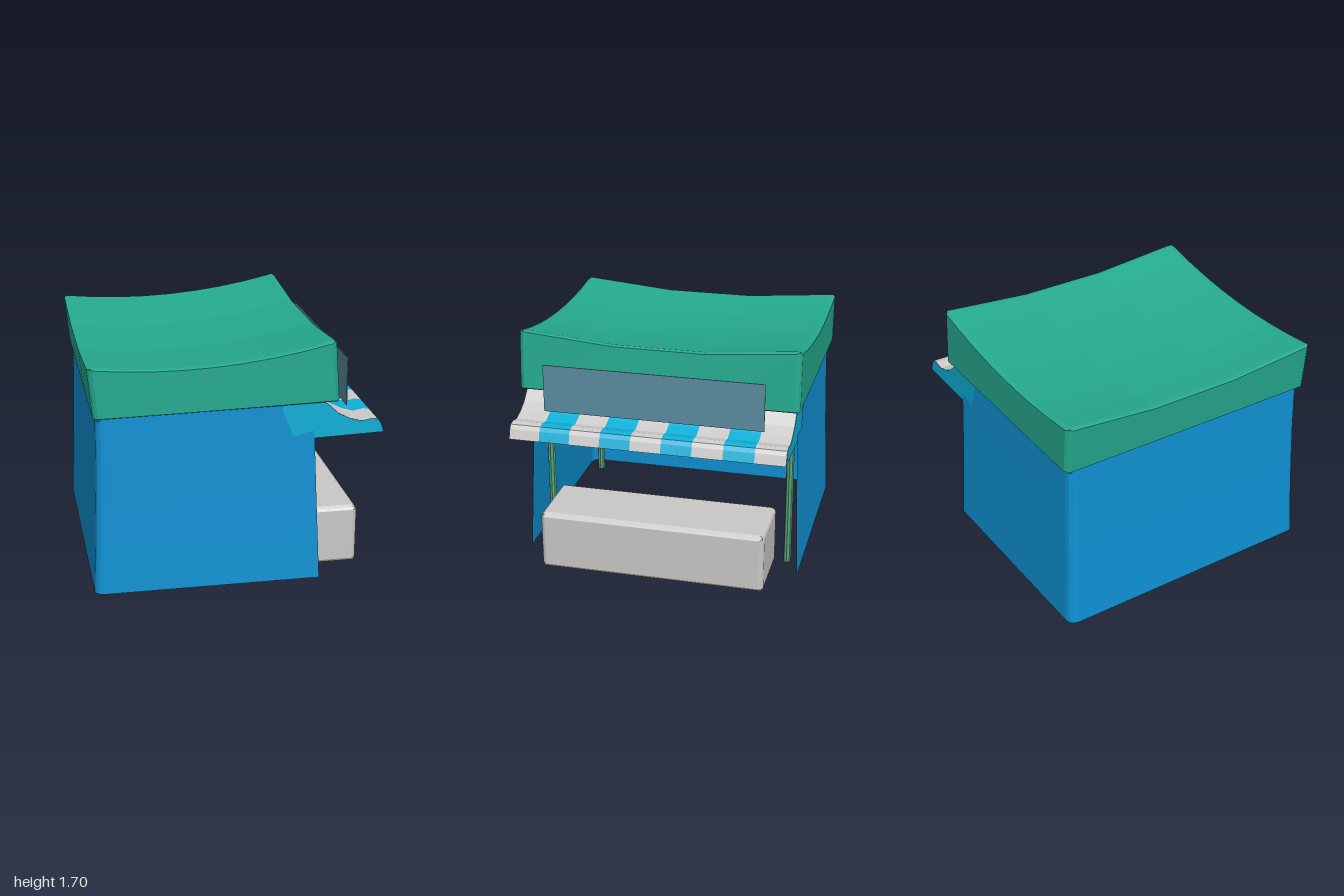
import * as THREE from 'three';

const mat = (name, color, side = THREE.FrontSide) => {
  const m = new THREE.MeshStandardMaterial({ color, side });
  m.name = name;
  return m;
};

const flat = (geo) => {
  const g = geo.index ? geo.toNonIndexed() : geo;
  g.computeVertexNormals();
  return g;
};

// Box with chamfered edges, centred at the origin
function chamferBox(size, segs, bevel) {
  const geo = new THREE.BoxGeometry(1, 1, 1, ...segs);
  const p = geo.attributes.position;
  for (let i = 0; i < p.count; i++) {
    const v = [p.getX(i), p.getY(i), p.getZ(i)];
    const extremes = v.filter((c) => Math.abs(c) > 0.499).length;
    const out = v.map((c, a) => {
      const half = size[a] / 2;
      if (Math.abs(c) > 0.499) return Math.sign(c) * (half - (extremes > 1 ? bevel * 0.4 : 0));
      return (c / (0.5 - 1 / segs[a])) * (half - bevel);
    });
    p.setXYZ(i, ...out);
  }
  return geo;
}

// Surface through rows of [x, y, z] points
function sheet(rows) {
  const n = rows[0].length, index = [];
  for (let r = 0; r < rows.length - 1; r++) {
    for (let c = 0; c < n - 1; c++) {
      const a = r * n + c, b = a + n;
      index.push(a, a + 1, b, a + 1, b + 1, b);
    }
  }
  const geo = new THREE.BufferGeometry();
  geo.setAttribute('position', new THREE.Float32BufferAttribute(rows.flat(2), 3));
  geo.setIndex(index);
  return flat(geo);
}

export function createModel() {
  const group = new THREE.Group();
  const green = mat('roofGreen', 0x25aa8e);
  const blue = mat('canvasBlue', 0x0f91d3, THREE.DoubleSide);
  const cyan = mat('awningCyan', 0x0fb0d8, THREE.DoubleSide);
  const white = mat('awningWhite', 0xcdcbc9, THREE.DoubleSide);
  const grey = mat('counterGrey', 0xcac8c6);
  const slate = mat('signSlate', 0x5a8da0);
  const poleGreen = mat('poleGreen', 0x56a377);

  const add = (name, geo, material, x = 0, y = 0, z = 0) => {
    const mesh = new THREE.Mesh(geo, material);
    mesh.name = name;
    mesh.position.set(x, y, z);
    group.add(mesh);
    return mesh;
  };

  // Sagging roof: chamfered block, top curved both ways, sides leaning back
  const roofGeo = chamferBox([1.65, 1, 1.96], [10, 3, 5], 0.035);
  const rp = roofGeo.attributes.position;
  for (let i = 0; i < rp.count; i++) {
    const t = rp.getY(i) + 0.5, z = rp.getZ(i);
    const x = rp.getX(i) - 0.175 + 0.032 * (1 - t);
    const sag = 0.06 * (1 - Math.max(0, (Math.abs(z) - 0.32) / 0.66));
    const top = 1.575 + 0.116 * (x + 0.45) ** 2 - sag;
    const bottom = 1.25 + 0.019 * (x + 0.97);
    rp.setXYZ(i, x, bottom + (top - bottom) * t, z);
  }
  add('roof', flat(roofGeo), green);

  // Three-sided canvas wall, flared toward the ground, open at +x
  const wallRows = [0, 0.25, 0.5, 0.75, 1].map((t) => {
    const inset = 0.04 * (1 - (1 - t) ** 1.6);
    const xBack = -0.99 + inset, xOpen = 0.565 - 0.058 * t, zSide = 0.985 - inset;
    const r = 0.06, row = [[xOpen, zSide]];
    for (let i = 0; i <= 3; i++) {
      const a = (i / 3) * Math.PI / 2;
      row.push([xBack + r - r * Math.sin(a), zSide - r + r * Math.cos(a)]);
    }
    const mirrored = row.map(([x, z]) => [x, -z]).reverse();
    return [...row, ...mirrored].map(([x, z]) => [x, 0.008 + 1.262 * t, z]).reverse();
  });
  add('canvasWall', sheet(wallRows), blue);
  add('ceiling', new THREE.BoxGeometry(1.48, 0.008, 1.88), blue, -0.2, 1.238, 0);

  // Corner poles
  for (const x of [-0.86, 0.35]) {
    for (const z of [-0.88, 0.88]) {
      add('pole', flat(new THREE.CylinderGeometry(0.027, 0.027, 1.235, 8)), poleGreen, x, 0.6175, z);
    }
  }

  // Striped awning: one curved strip per stripe
  const profile = [[0.5, 1.3], [0.6, 1.27], [0.68, 1.195], [0.76, 1.155], [0.84, 1.132],
    [0.91, 1.146], [0.955, 1.138], [0.975, 1.11], [0.998, 1.045]];
  const stripes = 9, span = 1.9;
  for (let i = 0; i < stripes; i++) {
    const z0 = -span / 2 + (i * span) / stripes, z1 = z0 + span / stripes;
    const rows = profile.map(([x, y]) => [[x, y, z1], [x, y, z0]]).reverse();
    add('awningStripe', sheet(rows), i % 2 ? cyan : white);
  }

  // Awning end panels lapping over the wall
  const endShape = new THREE.Shape([...profile.slice(1), [0.515, 1.03], [0.51, 1.085],
    [0.37, 1.05], [0.29, 1.25], [0.31, 1.29], [0.56, 1.29]].map(([x, y]) => new THREE.Vector2(x, y)));
  for (const side of [-1, 1]) {
    add('awningEnd', new THREE.ShapeGeometry(endShape), cyan, 0, 0, side * 0.951);
  }

  // Blank sign board above the awning
  add('signBoard', new THREE.BoxGeometry(0.006, 0.335, 1.53), slate, 0.785, 1.3525, 0);

  // Counter block
  add('counter', flat(chamferBox([0.5, 0.43, 1.595], [3, 3, 3], 0.03)), grey, 0.63, 0.23, 0);

  return group;
}
